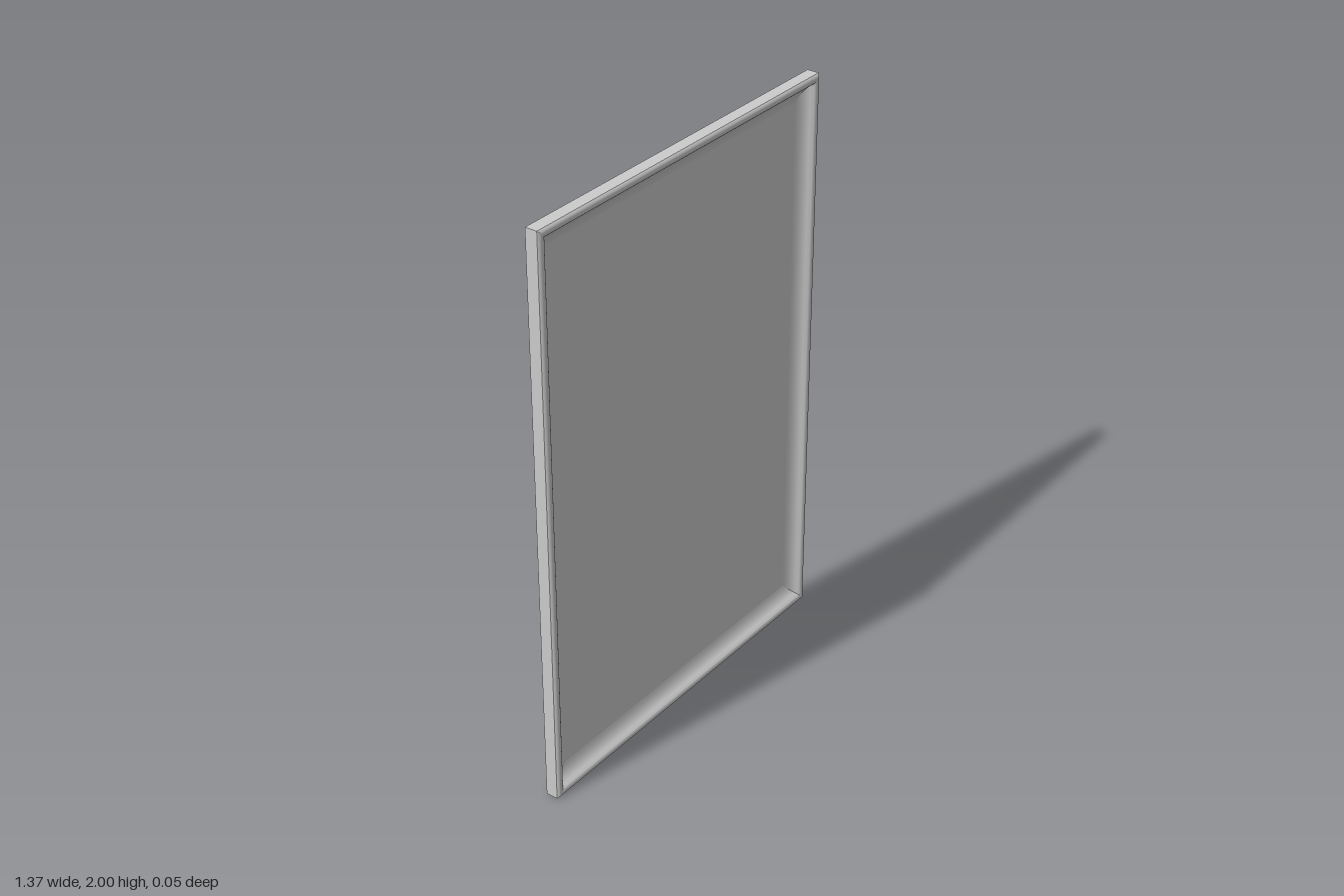
import * as THREE from 'three';
import { toCreasedNormals } from 'three/addons/utils/BufferGeometryUtils.js';

const W = 1.37, H = 2, BACK = -0.025, PANEL_Z = -0.014, INSET = 0.08;

// Moulding section as [inset from outer edge, z]: side, rounded bead, hollow cove
function mouldingProfile() {
  const points = [[0, BACK], [0, 0.017]];
  const bead = new THREE.CubicBezierCurve(
    new THREE.Vector2(0, 0.017), new THREE.Vector2(0.007, 0.028),
    new THREE.Vector2(0.023, 0.028), new THREE.Vector2(0.03, 0.016));
  const cove = new THREE.QuadraticBezierCurve(
    new THREE.Vector2(0.03, 0.016), new THREE.Vector2(0.042, -0.007),
    new THREE.Vector2(INSET, PANEL_Z));
  for (const curve of [bead, cove]) {
    curve.getPoints(8).slice(1).forEach(p => points.push([p.x, p.y]));
  }
  return points;
}

// One mitred rail along the bottom edge of a rectangle of the given size
function railGeometry(length, across) {
  const profile = mouldingProfile();
  const positions = [], index = [];
  profile.forEach(([d, z], i) => {
    positions.push(-length / 2 + d, -across / 2 + d, z);
    positions.push(length / 2 - d, -across / 2 + d, z);
    if (i > 0) {
      const a = 2 * (i - 1);
      index.push(a, a + 1, a + 3, a, a + 3, a + 2);
    }
  });
  const geometry = new THREE.BufferGeometry();
  geometry.setAttribute('position', new THREE.Float32BufferAttribute(positions, 3));
  geometry.setIndex(index);
  return toCreasedNormals(geometry, Math.PI / 7);
}

export function createModel() {
  const model = new THREE.Group();
  model.name = 'pictureFrame';
  const material = new THREE.MeshStandardMaterial({ color: 0xcccccc });

  const add = (name, geometry) => {
    const mesh = new THREE.Mesh(geometry, material);
    mesh.name = name;
    mesh.position.y = H / 2;
    model.add(mesh);
    return mesh;
  };

  // Four mitred rails, turned a quarter each
  ['bottomRail', 'leftRail', 'topRail', 'rightRail'].forEach((name, i) => {
    const geometry = i % 2 ? railGeometry(H, W) : railGeometry(W, H);
    add(name, geometry).rotation.z = i * Math.PI / 2;
  });

  // Recessed picture panel
  add('picturePanel', new THREE.PlaneGeometry(W - 2 * INSET, H - 2 * INSET)).position.z = PANEL_Z;

  // Flat back
  const back = add('backBoard', new THREE.PlaneGeometry(W, H));
  back.position.z = BACK;
  back.rotation.y = Math.PI;

  return model;
}
